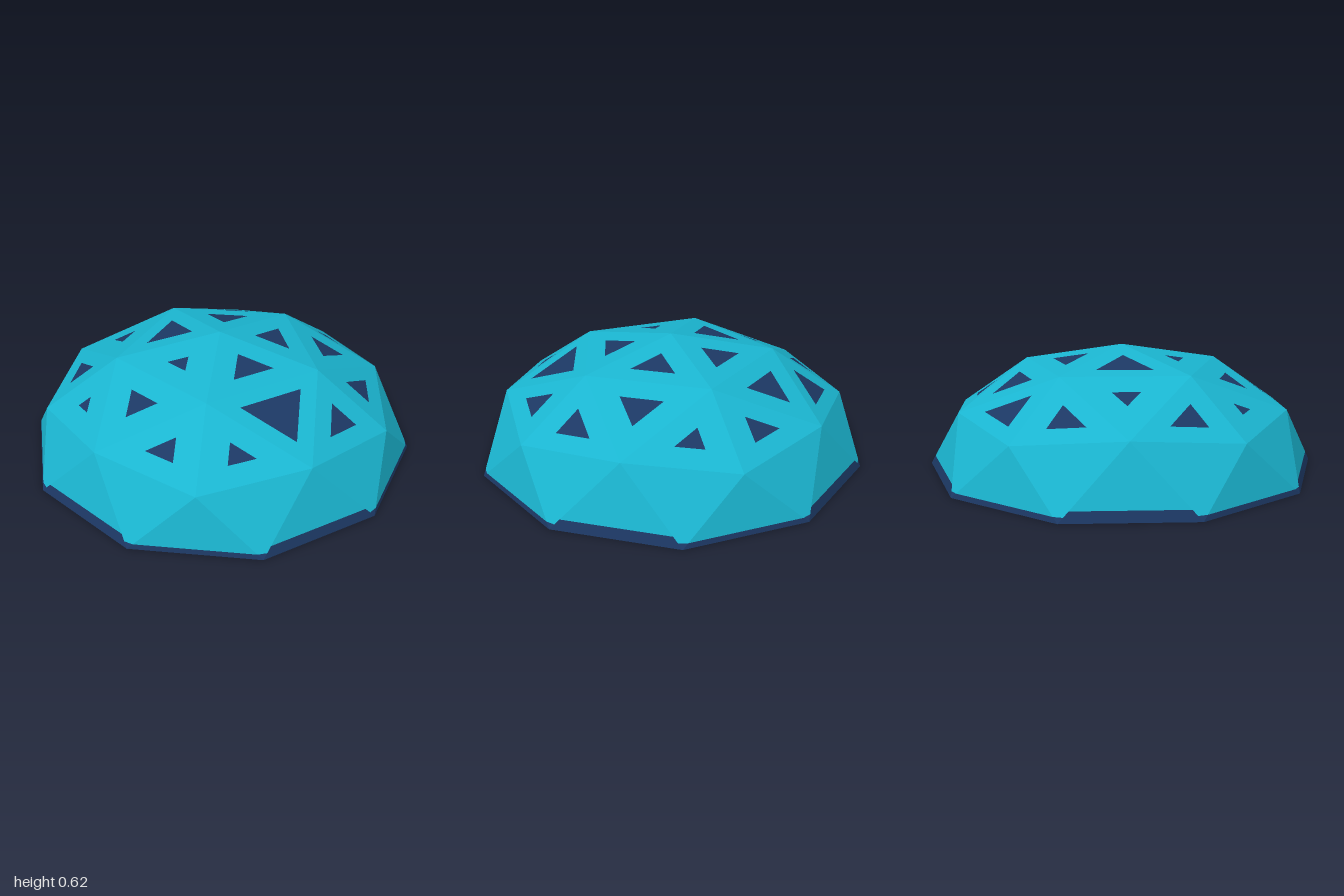
import * as THREE from 'three';

const SQUASH = 0.625;
const rad = THREE.MathUtils.degToRad;

// Point on a ring of the squashed geodesic sphere
const ringPoint = (deg, r, y) =>
  new THREE.Vector3(r * Math.cos(rad(deg)), y * SQUASH, r * Math.sin(rad(deg)));
const apex = new THREE.Vector3(0, SQUASH, 0);
const upper = (k) => ringPoint(72 * k, 0.5257, 0.8507);
const corner = (k) => ringPoint(72 * k, 0.8944, 0.4472);
const middle = (k) => ringPoint(72 * k + 36, 0.8507, 0.5257);
const rim = (i) => ringPoint(36 * i + 18, 1, 0);

// Adds a triangle, turned to face outward
function addTri(list, a, b, c) {
  const normal = b.clone().sub(a).cross(c.clone().sub(a));
  const order = normal.dot(a) < 0 ? [a, c, b] : [a, b, c];
  for (const p of order) list.push(p.x, p.y, p.z);
}

function addQuad(list, a, b, c, d) {
  addTri(list, a, b, c);
  addTri(list, a, c, d);
}

function makeMesh(name, list, material) {
  const geometry = new THREE.BufferGeometry();
  geometry.setAttribute('position', new THREE.Float32BufferAttribute(list, 3));
  geometry.computeVertexNormals();
  const mesh = new THREE.Mesh(geometry, material);
  mesh.name = name;
  return mesh;
}

export function createModel() {
  const group = new THREE.Group();
  group.name = 'facetedDome';
  const teal = new THREE.MeshStandardMaterial({ color: 0x1ab5d0, flatShading: true });
  const navy = new THREE.MeshStandardMaterial({ color: 0x1c3864, flatShading: true });
  const shell = [], windows = [], band = [];

  // Panel with a triangular window, a scaled copy of the panel about its centre
  function windowPanel(a, b, c, scale) {
    const outer = [a, b, c];
    const centre = a.clone().add(b).add(c).divideScalar(3);
    const inner = outer.map((p) => centre.clone().lerp(p, scale));
    addTri(windows, ...inner);
    for (let i = 0; i < 3; i++) {
      const j = (i + 1) % 3;
      addQuad(shell, outer[i], outer[j], inner[j], inner[i]);
    }
  }

  // Window sizes around the dome, one per fifth
  const capSizes = [0.36, 0.2, 0.45, 0.36, 0.36];
  const wedgeSizes = [0.54, 0.29, 0.22, 0.4, 0.345];
  const beforeSizes = [0.345, 0.25, 0.17, 0.34, 0.31];
  const afterSizes = [0.345, 0.275, 0.34, 0.455, 0.255];
  for (let k = 0; k < 5; k++) {
    windowPanel(apex, upper(k), upper(k + 1), capSizes[k]);
    windowPanel(upper(k), upper(k + 1), middle(k), wedgeSizes[k]);
    windowPanel(upper(k), corner(k), middle(k - 1), beforeSizes[k]);
    windowPanel(upper(k), corner(k), middle(k), afterSizes[k]);
  }

  // Lower panels, their bottoms coloured as a base band
  const at = (low, high, y) => low.clone().lerp(high, y / high.y);
  for (let i = 0; i < 10; i++) {
    const ring = (n) => (n % 2 ? middle((n - 1) / 2) : corner(n / 2));
    const left = rim(i - 1), right = rim(i), top = ring(i), next = ring(i + 1);
    const h = i % 2 ? 0.05 : 0.025;
    const l = at(left, top, h), r = at(right, top, h);
    addQuad(band, left, right, r, l);
    addTri(shell, l, r, top);
    const a = at(right, top, 0.025), b = at(right, next, 0.025);
    addTri(band, right, a, b);
    addQuad(shell, a, b, next, top);
  }

  group.add(makeMesh('shellPanels', shell, teal));
  group.add(makeMesh('triangularWindows', windows, navy));
  group.add(makeMesh('baseBand', band, navy));

  // Flat ten-sided underside
  const floor = new THREE.Mesh(new THREE.CircleGeometry(1, 10, rad(18)), teal);
  floor.geometry.rotateX(Math.PI / 2);
  floor.name = 'underside';
  group.add(floor);
  return group;
}
